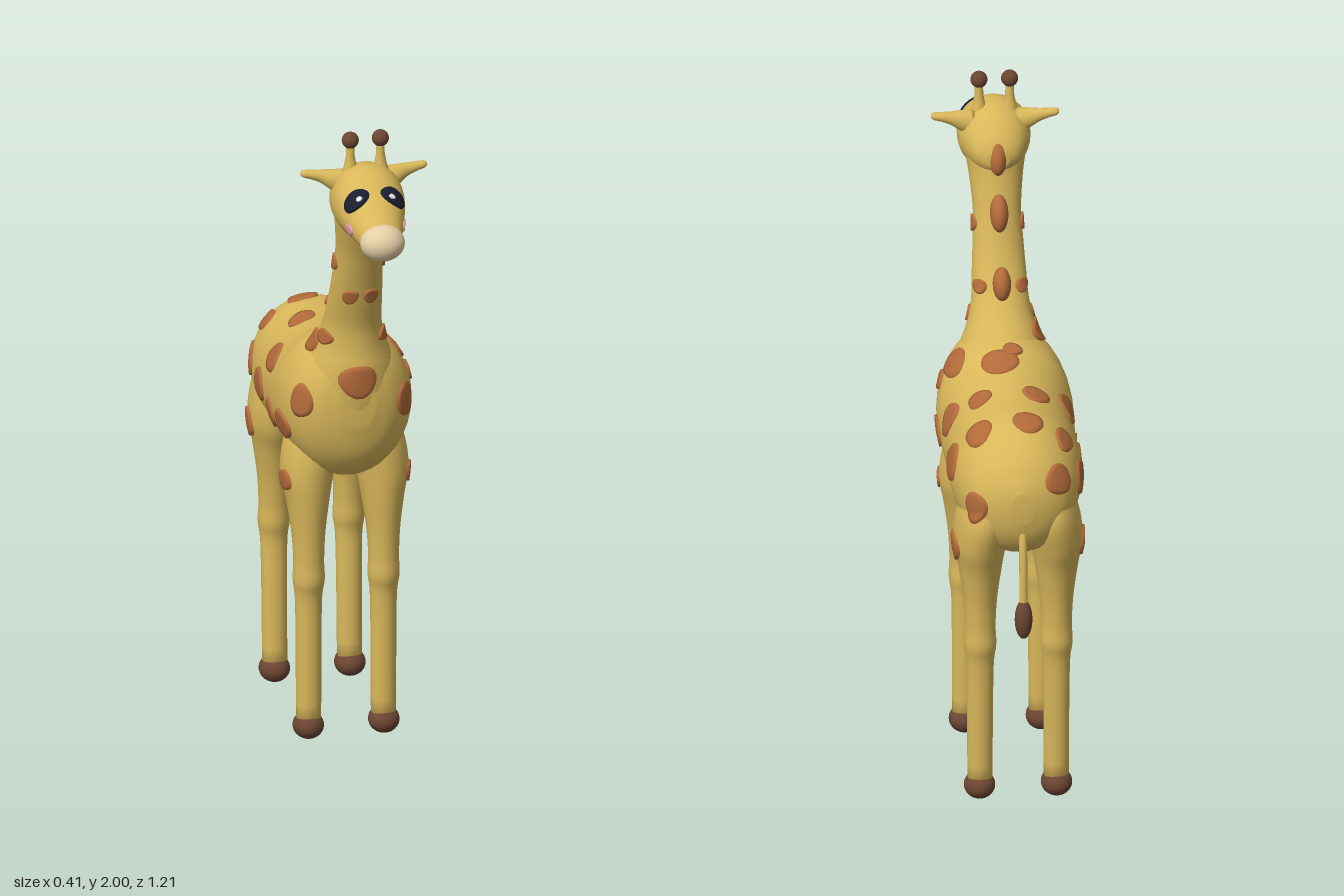
import * as THREE from 'three';

const mat = (name, color) => Object.assign(new THREE.MeshStandardMaterial({ color }), { name });
const V = (x, y, z) => new THREE.Vector3(x, y, z);

// Smooth closed skin through oval sections [s, low, high, halfWidth, xCentre].
// upright: s is y and low/high are z; otherwise s is z and low/high are y.
function loft(rows, upright, sub = 5, seg = 36) {
  const centres = new THREE.CatmullRomCurve3(
    rows.map(([s, lo, hi, , xc = 0]) => V(xc, s, (lo + hi) / 2)), false, 'catmullrom', 0.5);
  const radii = new THREE.CatmullRomCurve3(
    rows.map(([, lo, hi, w]) => V(w, (hi - lo) / 2, 0)), false, 'catmullrom', 0.5);
  const n = (rows.length - 1) * sub, pos = [], index = [];
  for (let i = -1; i <= n + 1; i++) {
    const t = Math.min(Math.max(i / n, 0), 1);
    const c = centres.getPoint(t), r = radii.getPoint(t);
    const k = i < 0 || i > n ? 0 : 1; // the end rings close to a point
    for (let j = 0; j < seg; j++) {
      const a = (j / seg) * Math.PI * 2;
      const x = c.x + k * r.x * Math.cos(a), d = k * r.y * Math.sin(a);
      if (upright) pos.push(x, c.y, c.z - d);
      else pos.push(x, c.z + d, c.y);
    }
  }
  for (let i = 0; i < n + 2; i++) {
    for (let j = 0; j < seg; j++) {
      const a = i * seg + j, b = i * seg + (j + 1) % seg;
      index.push(a, b, a + seg, b, b + seg, a + seg);
    }
  }
  const g = new THREE.BufferGeometry();
  g.setAttribute('position', new THREE.Float32BufferAttribute(pos, 3));
  g.setIndex(index);
  g.computeVertexNormals();
  return g;
}

// Thin oval patch draped over the target meshes, found by looking at p from direction d.
const caster = new THREE.Raycaster();
function patch(targets, p, d, ru, rv, { lift = 0.007, wobble = 0.06 } = {}) {
  d.normalize();
  const cast = (o, dir) => {
    caster.set(o, dir);
    return caster.intersectObjects(targets, false)[0];
  };
  const hit = cast(p.clone().addScaledVector(d, 0.6), d.clone().negate());
  if (!hit) return new THREE.BufferGeometry();
  const n = hit.face.normal.clone(), back = n.clone().negate();
  const u = Math.abs(d.z) > 0.7 ? V(1, 0, 0) : V(0, 0, 1);
  u.addScaledVector(n, -u.dot(n)).normalize();
  const v = n.clone().cross(u);
  const seg = 22, rings = 5, pos = [], index = [];
  for (let i = 0; i <= rings; i++) {
    for (let j = 0; j < seg; j++) {
      const a = (j / seg) * Math.PI * 2;
      const r = Math.min(i / (rings - 1), 1.04) * (1 + wobble * Math.sin(3 * a + p.z * 40 + p.y * 25));
      const q = hit.point.clone().addScaledVector(u, r * ru * Math.cos(a)).addScaledVector(v, r * rv * Math.sin(a));
      const h = cast(q.clone().addScaledVector(n, 0.1), back);
      const depth = h ? Math.min(h.distance - 0.1, 0.05) : 0.05;
      q.addScaledVector(n, (i === rings ? -0.004 : lift) - depth);
      pos.push(q.x, q.y, q.z);
    }
  }
  for (let i = 0; i < rings; i++) {
    for (let j = 0; j < seg; j++) {
      const a = i * seg + j, b = i * seg + (j + 1) % seg;
      index.push(a, a + seg, b, b, a + seg, b + seg);
    }
  }
  const g = new THREE.BufferGeometry();
  g.setAttribute('position', new THREE.Float32BufferAttribute(pos, 3));
  g.setIndex(index);
  g.computeVertexNormals();
  return g;
}

export function createModel() {
  const root = new THREE.Group();
  root.name = 'giraffe';
  const coat = mat('coat', 0xd9b75a), brown = mat('spotBrown', 0xb36b3a), dark = mat('hoofBrown', 0x6b4532);
  const cream = mat('muzzleCream', 0xe6cfa6), navy = mat('eyeNavy', 0x1b1e30);
  const white = mat('eyeWhite', 0xffffff), pink = mat('cheekPink', 0xdd9a9c);

  const add = (name, geo, m) => {
    const mesh = new THREE.Mesh(geo, m);
    mesh.name = name;
    root.add(mesh);
    return mesh;
  };
  const ball = (name, m, [x, y, z], [rx, ry, rz], tilt = 0) => {
    const b = add(name, new THREE.SphereGeometry(1, 28, 20), m);
    b.position.set(x, y, z);
    b.scale.set(rx, ry, rz);
    b.rotation.x = tilt;
    return b;
  };

  // Trunk, from rump to chest
  const skin = [add('body', loft([
    [-0.572, 0.95, 1.04, 0.03], [-0.555, 0.89, 1.08, 0.085], [-0.52, 0.84, 1.135, 0.135],
    [-0.46, 0.81, 1.185, 0.17], [-0.38, 0.80, 1.21, 0.19], [-0.28, 0.81, 1.215, 0.193],
    [-0.18, 0.805, 1.225, 0.193], [-0.08, 0.81, 1.248, 0.198], [0, 0.82, 1.28, 0.2],
    [0.08, 0.83, 1.29, 0.19], [0.14, 0.86, 1.28, 0.165], [0.19, 0.93, 1.24, 0.115], [0.215, 1.03, 1.17, 0.05],
  ], false), coat)];

  // Chest and neck
  skin.push(add('neck', loft([
    [0.84, 0, 0.1, 0.06], [0.9, -0.05, 0.15, 0.12], [1.0, -0.1, 0.198, 0.165], [1.1, -0.1, 0.218, 0.165],
    [1.2, -0.08, 0.224, 0.135], [1.27, -0.015, 0.215, 0.105], [1.34, 0.05, 0.217, 0.086],
    [1.42, 0.1, 0.24, 0.08], [1.5, 0.135, 0.265, 0.075], [1.6, 0.165, 0.3, 0.071],
    [1.7, 0.19, 0.345, 0.08], [1.78, 0.205, 0.36, 0.09], [1.83, 0.23, 0.35, 0.07],
  ], true), coat));

  // Legs and hooves
  const frontLeg = [
    [0.06, 0.015, 0.085, 0.037], [0.3, 0.012, 0.087, 0.038], [0.44, 0.008, 0.09, 0.04], [0.5, 0, 0.103, 0.047],
    [0.56, 0.002, 0.102, 0.045], [0.65, -0.015, 0.107, 0.05], [0.75, -0.045, 0.117, 0.064],
    [0.83, -0.07, 0.122, 0.078], [0.92, -0.08, 0.12, 0.08], [1.0, -0.06, 0.1, 0.05]];
  const backLeg = [
    [0.06, -0.445, -0.375, 0.037], [0.3, -0.453, -0.38, 0.038], [0.44, -0.46, -0.385, 0.04], [0.5, -0.472, -0.375, 0.047],
    [0.56, -0.47, -0.372, 0.045], [0.65, -0.478, -0.357, 0.05], [0.75, -0.5, -0.325, 0.064],
    [0.83, -0.53, -0.285, 0.078], [0.92, -0.55, -0.26, 0.08], [1.0, -0.53, -0.29, 0.05]];
  for (const side of [1, -1]) {
    for (const [name, rows, z] of [['front', frontLeg, 0.05], ['back', backLeg, -0.41]]) {
      const placed = rows.map((r) => [...r, side * (r[0] > 0.9 ? 0.1 : 0.112)]);
      skin.push(add(name + 'Leg', loft(placed, true, 5, 28), coat));
      ball(name + 'Hoof', dark, [side * 0.113, 0.041, z], [0.046, 0.041, 0.051]);
    }
  }

  // Head and muzzle
  const head = add('head', loft([
    [0.188, 1.74, 1.795, 0.03], [0.21, 1.72, 1.835, 0.065], [0.25, 1.7, 1.875, 0.09], [0.3, 1.685, 1.9, 0.105],
    [0.35, 1.68, 1.905, 0.107], [0.4, 1.685, 1.885, 0.1], [0.45, 1.688, 1.85, 0.086], [0.5, 1.69, 1.815, 0.071],
    [0.54, 1.692, 1.793, 0.06], [0.57, 1.705, 1.775, 0.04],
  ], false), coat);
  ball('muzzle', cream, [0, 1.739, 0.546], [0.066, 0.055, 0.056]);

  for (const side of [1, -1]) {
    // Ear, tapering outwards
    const ear = loft([
      [0.06, 0.27, 0.335, 0.04, -side * 1.842], [0.1, 0.273, 0.325, 0.031, -side * 1.851],
      [0.13, 0.275, 0.312, 0.02, -side * 1.862], [0.16, 0.276, 0.306, 0.014, -side * 1.869],
      [0.18, 0.278, 0.302, 0.011, -side * 1.872], [0.188, 0.284, 0.296, 0.006, -side * 1.873]], true, 4, 20);
    add('ear', ear.rotateZ(-side * Math.PI / 2), coat);

    // Horn with a round tip
    const stem = [[0.026, 1.87], [0.018, 1.9], [0.013, 1.925], [0.012, 1.965]].map(([r, y]) => new THREE.Vector2(r, y));
    add('horn', new THREE.LatheGeometry(stem, 18), coat).position.set(side * 0.045, 0, 0.312);
    ball('hornTip', dark, [side * 0.045, 1.975, 0.312], [0.025, 0.025, 0.025]);

    // Eye, glint and cheek
    const out = () => V(side * 0.66, 0.75, 0.25);
    const plain = { lift: 0.008, wobble: 0 };
    add('eye', patch([head], V(side * 0.058, 1.836, 0.442), out(), 0.028, 0.043, plain), navy);
    add('eyeGlint', patch([head], V(side * 0.054, 1.848, 0.452), out(), 0.008, 0.01, { lift: 0.0115, wobble: 0 }), white);
    add('cheek', patch([head], V(0, 1.755, 0.465), V(side, 0, 0), 0.022, 0.017, { lift: 0.005, wobble: 0 }), pink);
  }

  // Flank spots: [y, z, radius along z, radius up]
  const shared = [[0.82, 0.055, 0.035, 0.03], [0.82, -0.42, 0.05, 0.042], [1.3, 0.155, 0.034, 0.022],
    [1.4, 0.115, 0.025, 0.02], [1.455, 0.245, 0.025, 0.022], [1.56, 0.215, 0.026, 0.024]];
  const leftOnly = [[1.205, 0.01, 0.055, 0.045], [1.135, 0.05, 0.036, 0.028], [1.085, 0.155, 0.04, 0.052],
    [1.01, -0.04, 0.056, 0.045], [1.105, -0.16, 0.043, 0.052], [1.05, -0.34, 0.056, 0.054], [0.985, -0.52, 0.04, 0.045]];
  const rightOnly = [[1.1, 0.15, 0.04, 0.05], [0.99, 0.045, 0.05, 0.045], [1.12, -0.155, 0.05, 0.045],
    [1.0, -0.25, 0.045, 0.05], [0.97, -0.1, 0.04, 0.045], [1.02, -0.41, 0.052, 0.05]];
  const flank = (side, list) => list.forEach(([y, z, a, b]) =>
    add('flankSpot', patch(skin, V(0, y, z), V(side, 0, 0), a, b), brown));
  flank(1, [...shared, ...leftOnly]);
  flank(-1, [...shared, ...rightOnly]);

  // Back spots: [x, z, radius along z, radius across]
  for (const [x, z, a, b] of [[-0.135, -0.41, 0.045, 0.035], [-0.03, -0.41, 0.043, 0.045], [0.115, -0.395, 0.048, 0.045],
    [-0.07, -0.235, 0.038, 0.042], [0.095, -0.225, 0.037, 0.038], [0.022, -0.085, 0.048, 0.055],
    [-0.018, -0.04, 0.022, 0.03], [-0.105, 0.085, 0.045, 0.035]]) {
    add('backSpot', patch(skin, V(x, 1.1, z), V(0, 1, 0), a, b), brown);
  }

  // Chest and rump spots
  add('chestSpot', patch(skin, V(0, 1.175, 0.2), V(0, 0, 1), 0.055, 0.05), brown);
  add('rumpSpot', patch(skin, V(-0.1, 1.06, -0.5), V(-0.4, 0.2, -1), 0.045, 0.045), brown);

  // Raised tufts down the back of the neck
  for (const [y, z, h] of [[1.77, 0.208, 0.055], [1.61, 0.162, 0.056], [1.42, 0.08, 0.05]]) {
    ball('maneTuft', brown, [0, y, z], [0.027, h, 0.036], 0.3);
  }

  // Tail
  const tail = new THREE.CatmullRomCurve3([V(0, 0.95, -0.54), V(0, 0.88, -0.56), V(0, 0.78, -0.572), V(0, 0.68, -0.578)]);
  add('tail', new THREE.TubeGeometry(tail, 20, 0.012, 12), coat);
  ball('tailTuft', dark, [0, 0.645, -0.578], [0.026, 0.062, 0.026]);

  return root;
}
